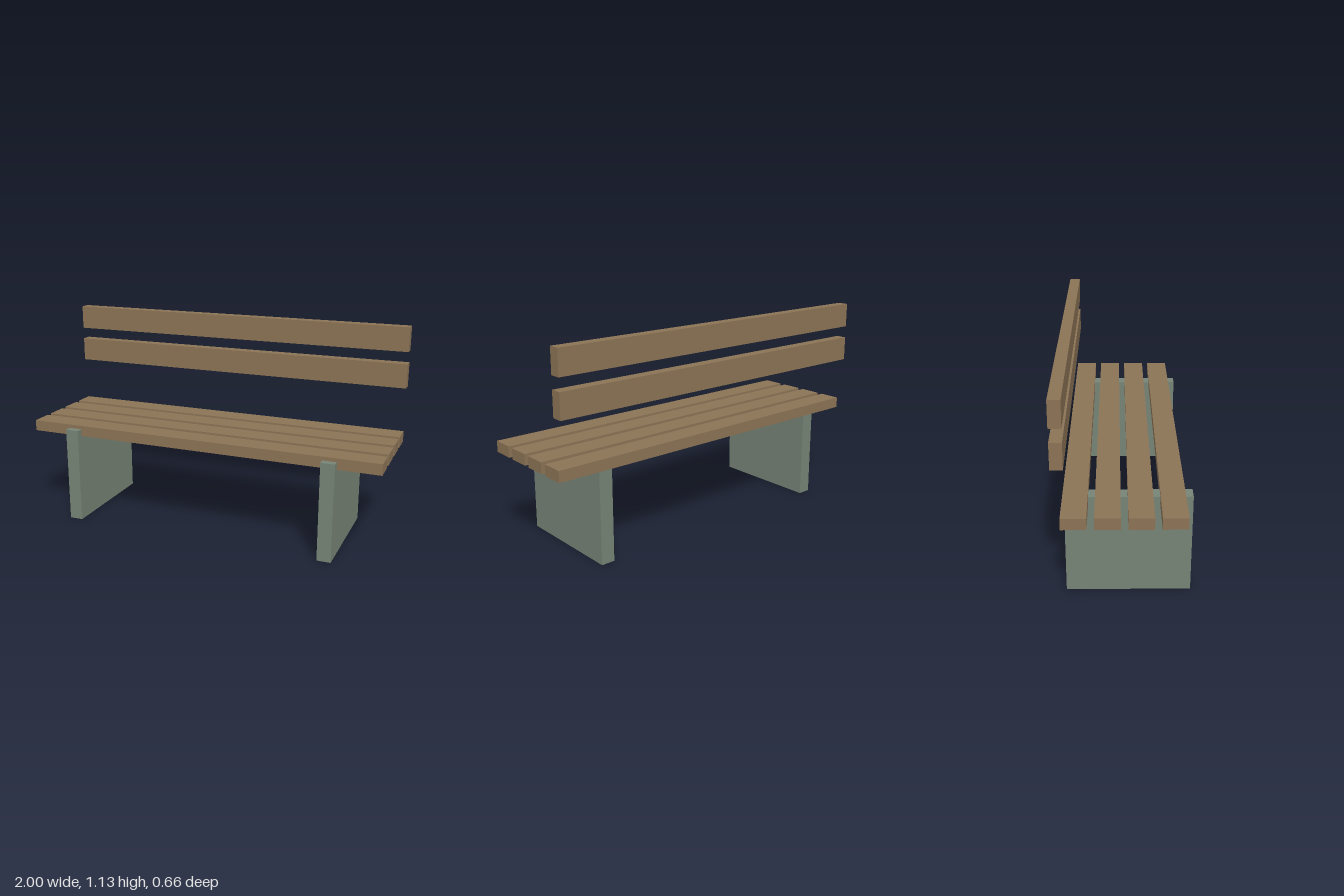
import * as THREE from 'three';

export function createModel() {
  const bench = new THREE.Group();
  bench.name = 'bench';

  const wood = new THREE.MeshStandardMaterial({ color: 0x8b7355 });
  wood.name = 'wood';
  const paintedSupport = new THREE.MeshStandardMaterial({ color: 0x768375 });
  paintedSupport.name = 'greyGreenSupport';

  const addBox = (name, material, size, position) => {
    const mesh = new THREE.Mesh(new THREE.BoxGeometry(...size), material);
    mesh.name = name;
    mesh.position.set(...position);
    bench.add(mesh);
  };

  // Slab legs, reaching slightly ahead of the seat
  for (const side of [-1, 1]) {
    addBox(side > 0 ? 'leftLeg' : 'rightLeg', paintedSupport,
      [0.075, 0.533, 0.622], [side * 0.735, 0.2665, 0.022]);
  }

  // Four seat slats, let into the tops of the legs
  for (let i = 0; i < 4; i++) {
    addBox(`seatSlat${i + 1}`, wood, [2, 0.06, 0.121], [0, 0.523, 0.2333 - i * 0.1556]);
  }

  // Two floating backrest boards
  for (let i = 0; i < 2; i++) {
    addBox(`backBoard${i + 1}`, wood, [2, 0.1333, 0.06], [0, 0.8667 + i * 0.2, -0.3]);
  }

  return bench;
}
